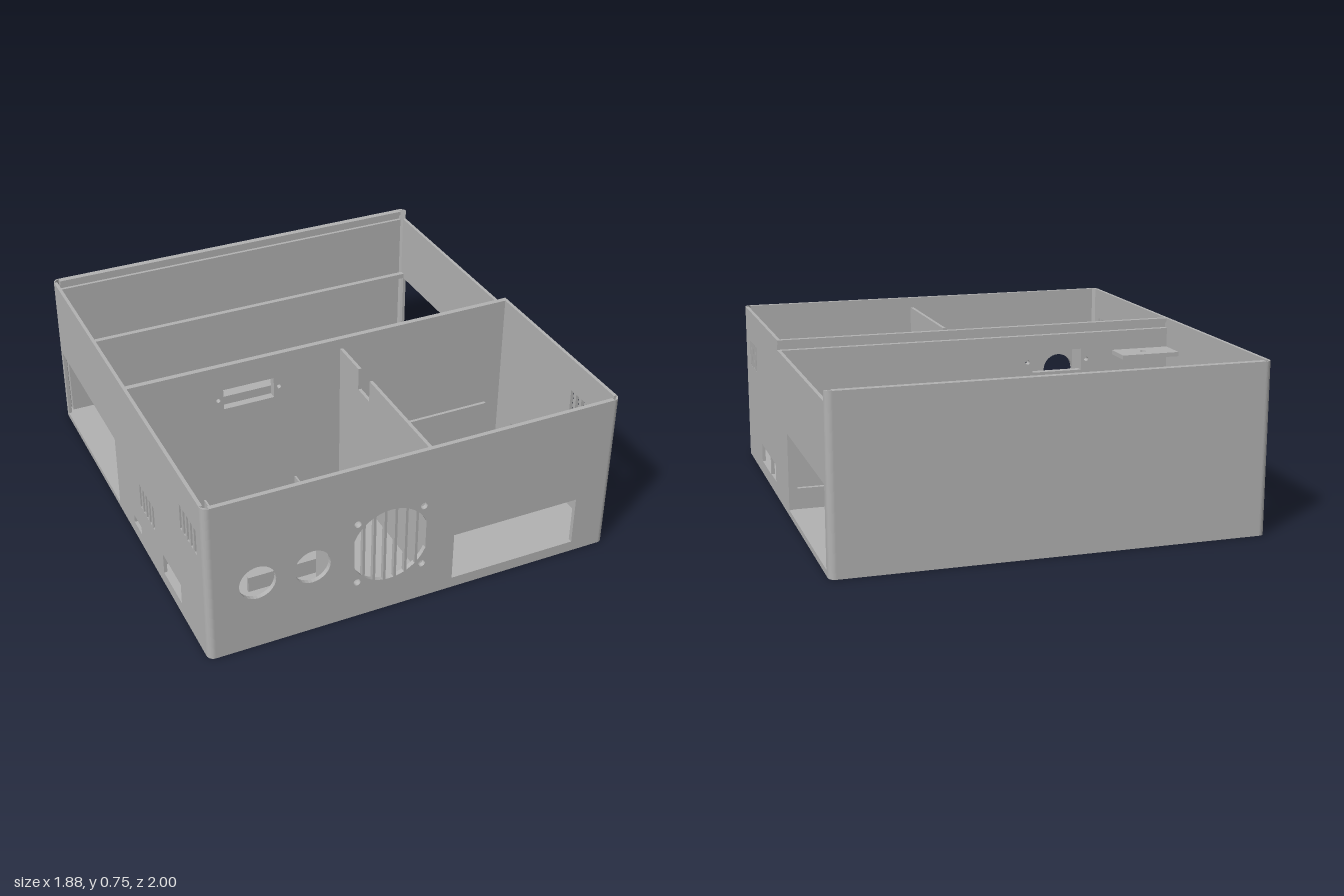
import * as THREE from 'three';

const grey = new THREE.MeshStandardMaterial({ color: 0xb2b2b2 });
grey.name = 'grey plastic';

const H = 0.755, RAIL = 0.71, FLOOR = 0.025;

// closed outline from [u, v] pairs
const poly = (pts, Type = THREE.Path) => new Type(pts.map(([u, v]) => new THREE.Vector2(u, v)));
const rect = (u0, u1, v0, v1) => poly([[u0, v0], [u1, v0], [u1, v1], [u0, v1]]);
const disc = (u, v, r) => new THREE.Path().absarc(u, v, r, 0, Math.PI * 2);

// row of upright ventilation slots
function vents(centre, v0, v1) {
  return [-2, -1, 0, 1, 2].map((i) => {
    const c = centre + i * 0.0415;
    return rect(c - 0.011, c + 0.011, v0, v1);
  });
}

export function createModel() {
  const group = new THREE.Group();
  group.name = 'enclosure';

  const add = (name, geometry) => {
    const mesh = new THREE.Mesh(geometry, grey);
    mesh.name = name;
    group.add(mesh);
    return mesh;
  };
  const box = (name, x0, x1, y0, y1, z0, z1) =>
    add(name, new THREE.BoxGeometry(x1 - x0, y1 - y0, z1 - z0))
      .position.set((x0 + x1) / 2, (y0 + y1) / 2, (z0 + z1) / 2);
  const extrude = (pts, holes, depth) => {
    const shape = poly(pts, THREE.Shape);
    shape.holes.push(...holes);
    return new THREE.ExtrudeGeometry(shape, { depth, bevelEnabled: false, curveSegments: 16 });
  };
  // plate facing z, outline in (x, y)
  const plateZ = (name, z0, z1, pts, holes = []) =>
    add(name, extrude(pts, holes, z1 - z0).translate(0, 0, z0));
  // plate facing x, outline in (z, y)
  const plateX = (name, x0, x1, pts, holes = []) =>
    add(name, extrude(pts, holes, x1 - x0).rotateY(-Math.PI / 2).translate(x1, 0, 0));

  // floor with rounded corners
  const base = new THREE.Shape();
  [[0.91, 0.97], [-0.91, 0.97], [-0.91, -0.97], [0.91, -0.97]].forEach(([x, z], i) => {
    base.absarc(x, z, 0.03, i * Math.PI / 2, (i + 1) * Math.PI / 2);
    // rounded corner post
    const post = new THREE.Shape();
    post.moveTo(x, z);
    post.absarc(x, z, 0.03, i * Math.PI / 2, (i + 1) * Math.PI / 2);
    add('cornerPost', new THREE.ExtrudeGeometry(post, { depth: H - FLOOR, bevelEnabled: false, curveSegments: 6 })
      .rotateX(-Math.PI / 2).translate(0, FLOOR, 0));
  });
  add('floor', new THREE.ExtrudeGeometry(base, { depth: FLOOR, bevelEnabled: false, curveSegments: 6 })
    .rotateX(-Math.PI / 2));

  // front wall: two round holes, tray opening, fan grille with screw holes
  const fx = -0.13, fy = 0.33, R = 0.178;
  const frontHoles = [disc(-0.72, 0.33, 0.08), disc(-0.48, 0.33, 0.08), rect(0.17, 0.77, 0.05, 0.28)];
  for (const sx of [-1, 1]) for (const sy of [-1, 1]) frontHoles.push(disc(fx + sx * 0.15, fy + sy * 0.15, 0.016));
  for (let i = -3; i <= 3; i++) {
    const edge = [];
    for (let k = 0; k <= 4; k++) {
      const u = i * 0.0485 - 0.0185 + k * 0.00925;
      edge.push([u, Math.sqrt(R * R - u * u)]);
    }
    const lower = edge.map(([u, v]) => [fx + u, fy - v]);
    const upper = edge.map(([u, v]) => [fx + u, fy + v]).reverse();
    frontHoles.push(poly([...lower, ...upper]));
  }
  plateZ('frontWall', 0.98, 1, [[-0.91, FLOOR], [0.91, FLOOR], [0.91, H], [-0.91, H]], frontHoles);

  // side walls with the bay opening; the left one is lowered for the sliding lid
  const bay = () => rect(-0.945, -0.135, FLOOR + 0.001, 0.375);
  plateX('leftWall', 0.925, 0.94,
    [[-0.97, FLOOR], [0.97, FLOOR], [0.97, H], [0.045, H], [0.045, 0.735], [0.06, 0.735], [0.06, RAIL], [-0.97, RAIL]],
    [bay(), ...vents(0.757, 0.485, 0.605), rect(0.34, 0.585, 0.06, 0.145), rect(0.2, 0.325, 0.065, 0.147)]);
  plateX('rightWall', -0.94, -0.925,
    [[-0.97, FLOOR], [0.97, FLOOR], [0.97, H], [-0.97, H]],
    [bay(), ...vents(0.29, 0.225, 0.345), ...vents(0.825, 0.485, 0.605),
      rect(0.08, 0.18, 0.06, 0.1), rect(0.47, 0.69, 0.06, 0.16)]);

  // back wall with undercut groove for the lid
  plateX('backWall', -0.91, 0.91,
    [[-1, FLOOR], [-0.97, FLOOR], [-0.97, RAIL], [-0.985, RAIL], [-0.985, 0.735], [-0.97, 0.735], [-0.97, H], [-1, H]]);

  // cross wall with display window and its lid groove
  plateZ('crossWall', 0.035, 0.07, [[-0.925, FLOOR], [0.925, FLOOR], [0.925, RAIL], [-0.925, RAIL]],
    [rect(-0.49, -0.25, 0.535, 0.635), disc(-0.515, 0.585, 0.01), disc(-0.225, 0.585, 0.01)]);
  plateX('crossWallLip', -0.925, 0.925,
    [[0.06, RAIL], [0.07, RAIL], [0.07, H], [0.045, H], [0.045, 0.735], [0.06, 0.735]]);

  // low wall in front of the bay, with cable cut-outs, and the bay rails
  plateZ('bayWall', -0.125, -0.105, [[-0.925, FLOOR], [0.925, FLOOR], [0.925, 0.48], [-0.925, 0.48]],
    [rect(-0.905, -0.76, 0.05, 0.3), rect(0.76, 0.9, 0.12, 0.27)]);
  box('bayRail', -0.925, 0.925, 0.375, 0.4, -0.15, -0.125);
  box('bayRail', -0.925, 0.925, 0.375, 0.4, -0.97, -0.945);

  // small shelf behind the cross wall, with a screw hole
  const shelf = poly([[-0.925, -0.035], [-0.645, -0.035], [-0.645, 0.105], [-0.925, 0.105]], THREE.Shape);
  shelf.holes.push(disc(-0.775, 0.035, 0.014));
  add('shelf', new THREE.ExtrudeGeometry(shelf, { depth: 0.02, bevelEnabled: false })
    .rotateX(-Math.PI / 2).translate(0, 0.6, 0));
  box('floorBlock', -0.64, -0.58, FLOOR, 0.08, -0.075, 0.01);

  // divider with a cable notch
  plateX('divider', 0.075, 0.09,
    [[0.07, FLOOR], [0.98, FLOOR], [0.98, 0.705], [0.37, 0.705], [0.37, 0.6], [0.26, 0.6], [0.26, 0.705], [0.07, 0.705]]);

  // guide walls around the front tray
  box('trayGuide', 0.13, 0.145, FLOOR, 0.25, 0.115, 0.98);
  box('trayGuide', 0.145, 0.82, FLOOR, 0.25, 0.115, 0.13);

  // thin frame on the floor
  for (const x of [-0.604, -0.154]) box('floorFrame', x, x + 0.008, FLOOR, 0.07, 0.07, 0.414);
  box('floorFrame', -0.596, -0.154, FLOOR, 0.07, 0.406, 0.414);

  // board supports
  for (const z of [0.42, 0.685]) box('boardSupport', -0.645, -0.27, FLOOR, 0.1, z, z + 0.015);
  box('boardSupport', -0.13, -0.115, FLOOR, 0.1, 0.48, 0.63);

  // brackets on the right wall and behind the front wall
  for (const z of [0.175, 0.365]) box('sideBracket', -0.925, -0.85, FLOOR, 0.42, z, z + 0.014);
  for (const x of [-0.84, -0.4]) box('frontBracket', x, x + 0.038, FLOOR, 0.45, 0.855, 0.98);

  return group;
}
